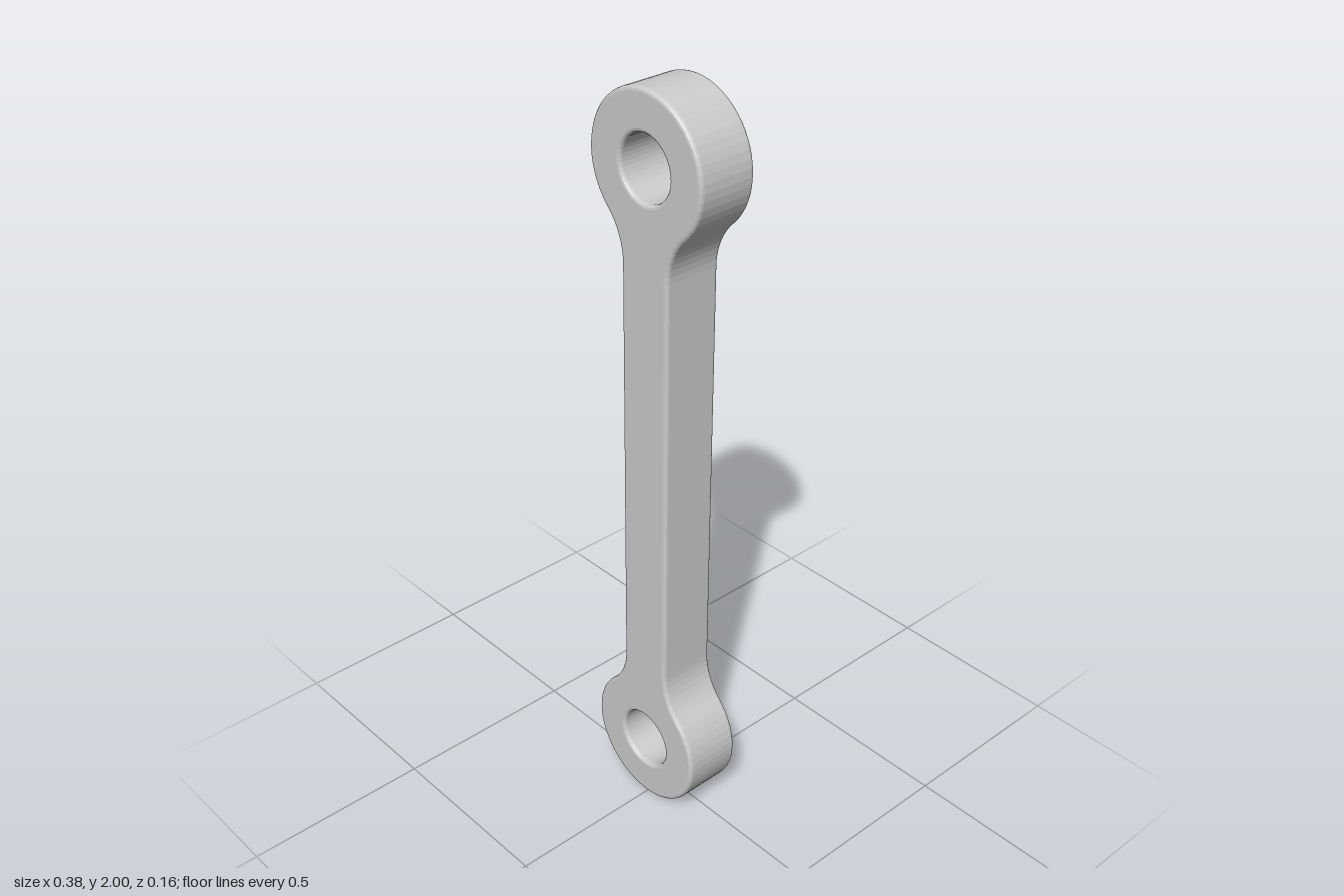
import * as THREE from 'three';

const HEAD_R = 0.183, HOLE_R = 0.081, HALF_W = 0.077, FILLET_R = 0.17;
const HALF_SPAN = 0.817, HALF_DEPTH = 0.079, BEVEL = 0.01;

// Points along an arc, in either direction
function arc(cx, cy, r, from, to, steps) {
  return Array.from({ length: steps + 1 }, (_, i) => {
    const t = from + (to - from) * i / steps;
    return new THREE.Vector2(cx + r * Math.cos(t), cy + r * Math.sin(t));
  });
}

// Half of the outline: upper eye and the fillet running into the left shank edge
function halfOutline() {
  const a = Math.asin((HALF_W + FILLET_R) / (HEAD_R + FILLET_R));
  const fx = HALF_W + FILLET_R;
  const fy = HALF_SPAN - (HEAD_R + FILLET_R) * Math.cos(a);
  const q = Math.PI / 2;
  return [
    ...arc(fx, fy, FILLET_R, Math.PI, q + a, 8),
    ...arc(0, HALF_SPAN, HEAD_R, a - q, 3 * q - a, 42).slice(1),
    ...arc(-fx, fy, FILLET_R, q - a, 0, 8).slice(1),
  ];
}

export function createModel() {
  const group = new THREE.Group();
  group.name = 'connectingLink';

  // The lower end is the upper end turned half a circle
  const half = halfOutline();
  const shape = new THREE.Shape([...half, ...half.map(p => p.clone().negate())]);

  // Pin holes through both eyes
  for (const s of [1, -1]) {
    const ring = arc(0, s * HALF_SPAN, HOLE_R, 2 * Math.PI, 0, 48).slice(0, -1);
    shape.holes.push(new THREE.Path(ring));
  }

  const depth = 2 * (HALF_DEPTH - BEVEL);
  const geometry = new THREE.ExtrudeGeometry(shape, {
    depth, bevelEnabled: true, bevelThickness: BEVEL, bevelSize: BEVEL,
    bevelOffset: -BEVEL, bevelSegments: 3,
  });
  geometry.translate(0, 0, -depth / 2);

  // Slight lean of the whole link, standing on the ground
  geometry.rotateZ(-Math.atan(0.008 / HALF_SPAN));
  geometry.translate(0, HALF_SPAN + HEAD_R, 0);

  const link = new THREE.Mesh(geometry, new THREE.MeshStandardMaterial({ color: 0xcccccc }));
  link.name = 'linkBody';
  group.add(link);
  return group;
}
